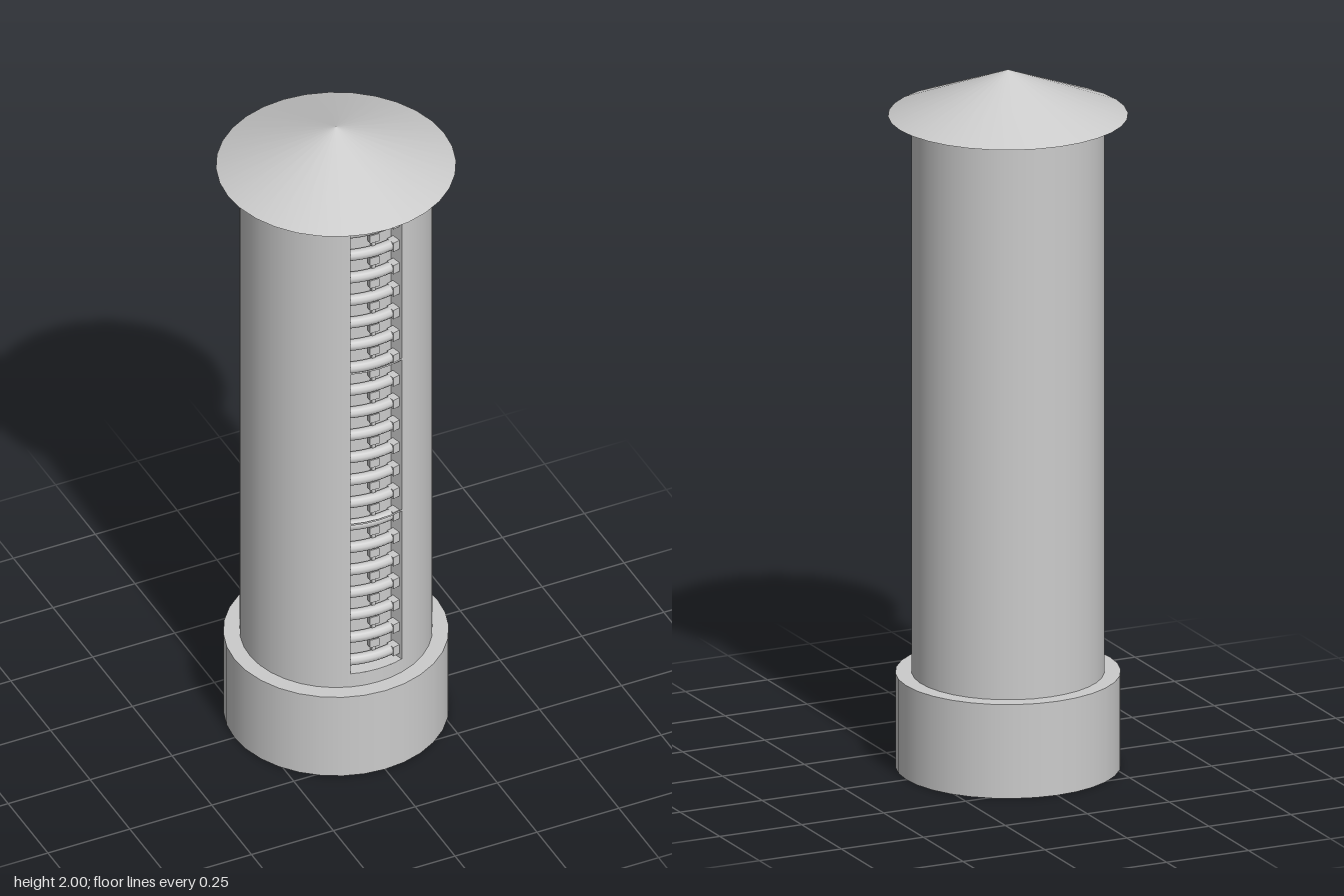
import * as THREE from 'three';

const material = new THREE.MeshStandardMaterial({ color: 0xcccccc, side: THREE.DoubleSide });
const R = 0.265;                       // shaft radius
const SLOT = Math.asin(0.078 / R);     // half angle of the slot
const SLOT_BOTTOM = 0.315, SLOT_TOP = 1.84;
const BASE_TOP = 0.27, EAVES = 1.87;

function add(parent, name, geometry, x = 0, y = 0, z = 0) {
  const mesh = new THREE.Mesh(geometry, material);
  mesh.name = name;
  mesh.position.set(x, y, z);
  parent.add(mesh);
  return mesh;
}

// Open cylindrical wall between two heights; angle 0 faces +z
function wall(parent, name, radius, y0, y1, start = 0, sweep = Math.PI * 2, sides = 32) {
  return add(parent, name,
    new THREE.CylinderGeometry(radius, radius, y1 - y0, sides, 1, true, start, sweep),
    0, (y0 + y1) / 2, 0);
}

function disc(parent, name, radius, y) {
  const mesh = add(parent, name, new THREE.CircleGeometry(radius, 32), 0, y, 0);
  mesh.rotation.x = -Math.PI / 2;
  return mesh;
}

// Horizontal rod bent around the shaft axis
class ArcCurve extends THREE.Curve {
  constructor(radius, a0, a1) {
    super();
    Object.assign(this, { radius, a0, a1 });
  }
  getPoint(t, target = new THREE.Vector3()) {
    const a = this.a0 + (this.a1 - this.a0) * t;
    return target.set(Math.sin(a) * this.radius, 0, Math.cos(a) * this.radius);
  }
}

export function createModel() {
  const model = new THREE.Group();
  model.name = 'slottedTower';

  // Hollow base, open underneath
  const base = new THREE.Group();
  base.name = 'base';
  model.add(base);
  wall(base, 'baseWall', 0.31, 0, BASE_TOP);
  disc(base, 'baseTop', 0.31, BASE_TOP);

  // Shaft with a tall slot in front
  const shaft = new THREE.Group();
  shaft.name = 'shaft';
  model.add(shaft);
  wall(shaft, 'shaftWall', R, BASE_TOP, EAVES, SLOT, Math.PI * 2 - SLOT * 2);
  wall(shaft, 'slotSill', R, BASE_TOP, SLOT_BOTTOM, -SLOT, SLOT * 2, 4);
  wall(shaft, 'slotHead', R, SLOT_TOP, EAVES, -SLOT, SLOT * 2, 4);
  for (const y of [0.827, 1.347]) wall(shaft, 'slotCrossbar', R, y - 0.003, y + 0.003, -SLOT, SLOT * 2, 4);

  // Recess behind the slot
  const inner = 0.222;
  wall(shaft, 'recessBack', inner, SLOT_BOTTOM, SLOT_TOP, -SLOT, SLOT * 2, 6);
  for (const side of [-1, 1]) {
    const r = (R + inner) / 2, a = side * SLOT;
    const jamb = add(shaft, 'slotJamb', new THREE.PlaneGeometry(R - inner, SLOT_TOP - SLOT_BOTTOM),
      Math.sin(a) * r, (SLOT_TOP + SLOT_BOTTOM) / 2, Math.cos(a) * r);
    jamb.rotation.y = a - Math.PI / 2;
  }
  for (const y of [SLOT_BOTTOM, SLOT_TOP]) {
    const end = add(shaft, 'recessEnd',
      new THREE.RingGeometry(inner, R, 6, 1, -Math.PI / 2 - SLOT, SLOT * 2), 0, y, 0);
    end.rotation.x = -Math.PI / 2;
  }

  // Twenty bent rods stacked in the slot, each with an end socket and a spacer below
  const rods = new THREE.Group();
  rods.name = 'rods';
  model.add(rods);
  const rodGeometry = new THREE.TubeGeometry(new ArcCurve(0.241, -SLOT, SLOT * 0.95), 10, 0.016, 10);
  const socketGeometry = new THREE.BoxGeometry(0.022, 0.03, 0.028);
  const spacerGeometry = new THREE.BoxGeometry(0.028, 0.026, 0.016);
  const pitch = 0.0773;
  for (let i = 0; i < 20; i++) {
    const y = 0.346 + i * pitch;
    add(rods, 'rod', rodGeometry, 0, y, 0);
    const a = SLOT * 0.84;
    add(rods, 'rodSocket', socketGeometry, Math.sin(a) * 0.243, y, Math.cos(a) * 0.243).rotation.y = a;
    wall(rods, 'rodShelf', 0.236, y - 0.021, y - 0.017, -SLOT, SLOT * 2, 6);
    if (i > 0) add(rods, 'spacer', spacerGeometry, 0, y - 0.034, 0.236);
  }
  add(rods, 'spine', new THREE.BoxGeometry(0.01, 19 * pitch, 0.012), 0, 0.346 + 9.5 * pitch, 0.232);

  // Conical roof with overhanging eaves
  const roof = new THREE.Group();
  roof.name = 'roof';
  model.add(roof);
  add(roof, 'roofCone', new THREE.ConeGeometry(0.33, 2 - EAVES, 32, 1, true), 0, (2 + EAVES) / 2, 0);
  disc(roof, 'roofUnderside', 0.33, EAVES);

  return model;
}
